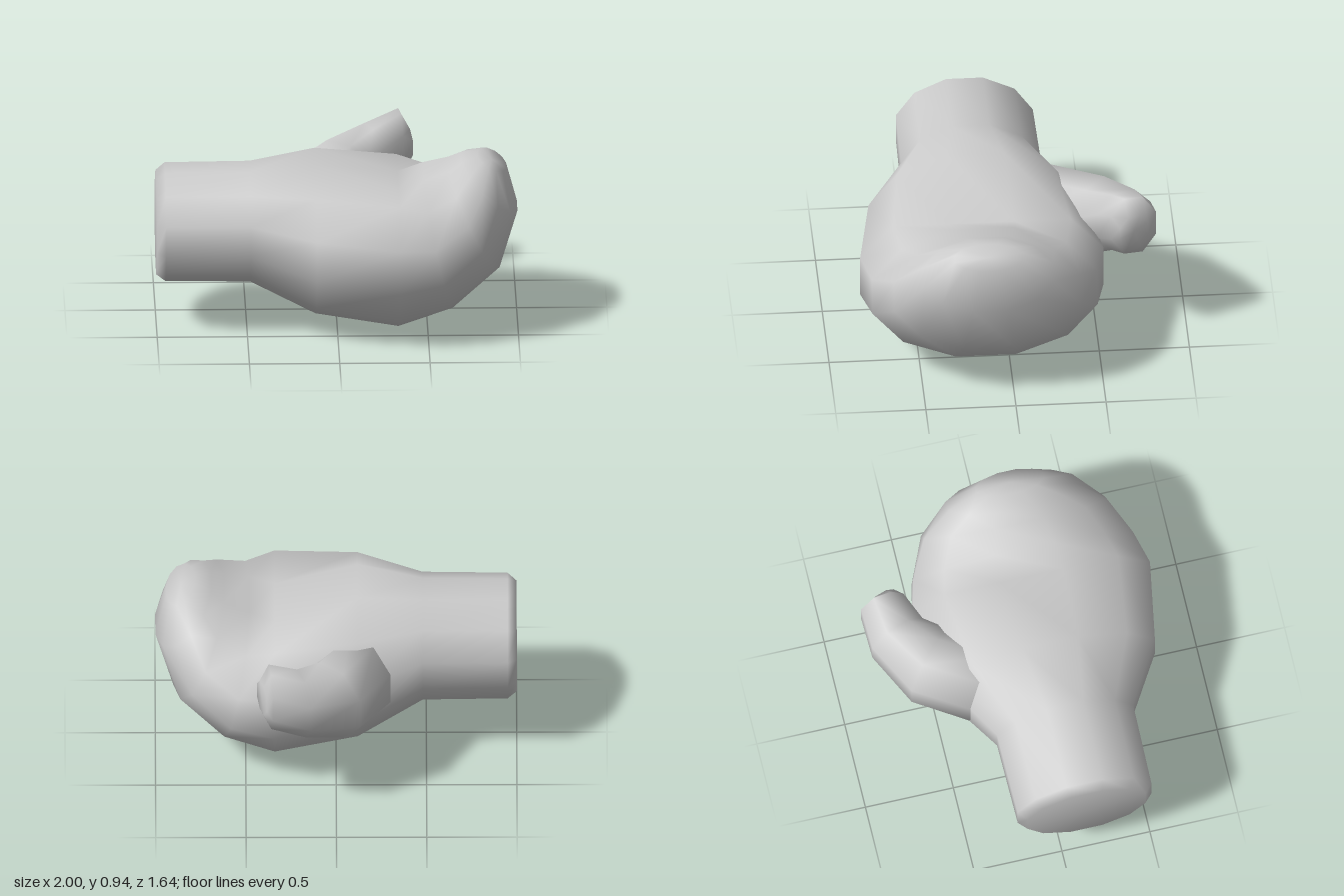
import * as THREE from 'three';

const K = Math.cos(Math.PI / 12); // flat-to-corner ratio of a 12-sided ring

// Loft closed rings (arrays of Vector3) and close both ends with fans.
function loft(name, rings, material) {
  const n = rings[0].length, pos = [], idx = [];
  rings.forEach(r => r.forEach(p => pos.push(p.x, p.y, p.z)));
  for (let i = 0; i < rings.length - 1; i++) {
    for (let j = 0; j < n; j++) {
      const a = i * n + j, b = i * n + (j + 1) % n;
      idx.push(a, b, a + n, b, b + n, a + n);
    }
  }
  [0, rings.length - 1].forEach(i => {
    const c = new THREE.Vector3();
    rings[i].forEach(p => c.addScaledVector(p, 1 / n));
    const ci = pos.length / 3;
    pos.push(c.x, c.y, c.z);
    for (let j = 0; j < n; j++) {
      const a = i * n + j, b = i * n + (j + 1) % n;
      if (i === 0) idx.push(ci, b, a);
      else idx.push(ci, a, b);
    }
  });
  const geo = new THREE.BufferGeometry();
  geo.setAttribute('position', new THREE.Float32BufferAttribute(pos, 3));
  geo.setIndex(idx);
  geo.computeVertexNormals();
  const mesh = new THREE.Mesh(geo, material);
  mesh.name = name;
  return mesh;
}

// Elliptical ring from a centre, a half-height vector and a half-width vector.
function ring(center, up, side, sides, maxY = Infinity) {
  return Array.from({ length: sides }, (_, i) => {
    const a = (i + 0.5) / sides * Math.PI * 2;
    const p = center.clone()
      .addScaledVector(up, Math.cos(a))
      .addScaledVector(side, Math.sin(a));
    p.y = Math.min(p.y, maxY);
    return p;
  });
}

export function createModel() {
  const group = new THREE.Group();
  group.name = 'paddedGlove';
  const mat = new THREE.MeshStandardMaterial({ color: 0xcccccc, side: THREE.DoubleSide });

  // Cuff, palm and curled fist: [bottomX, bottomY, topX, topY, halfWidth, maxY]
  const sections = [
    [-1.00, 0.28, -1.00, 0.83, 0.335],
    [-0.95, 0.245, -0.95, 0.87, 0.38],
    [-0.48, 0.24, -0.48, 0.875, 0.387],
    [-0.12, 0.07, -0.12, 0.93, 0.595],
    [0.34, 0.00, 0.34, 0.92, 0.675, 0.785], // dent behind the knuckles
    [0.64, 0.10, 0.48, 0.84, 0.625],
    [0.90, 0.325, 0.62, 0.88, 0.52],
    [1.00, 0.64, 0.69, 0.92, 0.36],
    [0.94, 0.87, 0.78, 0.94, 0.19],
  ];
  group.add(loft('gloveBody', sections.map(([bx, by, tx, ty, w, maxY]) => ring(
    new THREE.Vector3((bx + tx) / 2, (by + ty) / 2, 0.14),
    new THREE.Vector3((tx - bx) / 2, (ty - by) / 2, 0).divideScalar(K),
    new THREE.Vector3(0, 0, w / K), 12, maxY)), mat));

  // Thumb: outer and inner plan points, then bottom and top height
  const thumb = [
    [-0.30, -0.36, 0.02, -0.10, 0.33, 0.78],
    [-0.13, -0.65, 0.18, -0.37, 0.37, 0.80],
    [0.14, -0.81, 0.25, -0.50, 0.48, 0.85],
    [0.35, -0.825, 0.385, -0.575, 0.56, 0.925],
    [0.385, -0.78, 0.44, -0.62, 0.64, 0.83],
  ];
  const k8 = Math.cos(Math.PI / 8);
  group.add(loft('thumb', thumb.map(([ox, oz, ix, iz, y0, y1]) => ring(
    new THREE.Vector3((ox + ix) / 2, (y0 + y1) / 2, (oz + iz) / 2),
    new THREE.Vector3(0, (y1 - y0) / 2 / k8, 0),
    new THREE.Vector3((ix - ox) / 2, 0, (iz - oz) / 2).divideScalar(k8), 8)), mat));

  return group;
}
